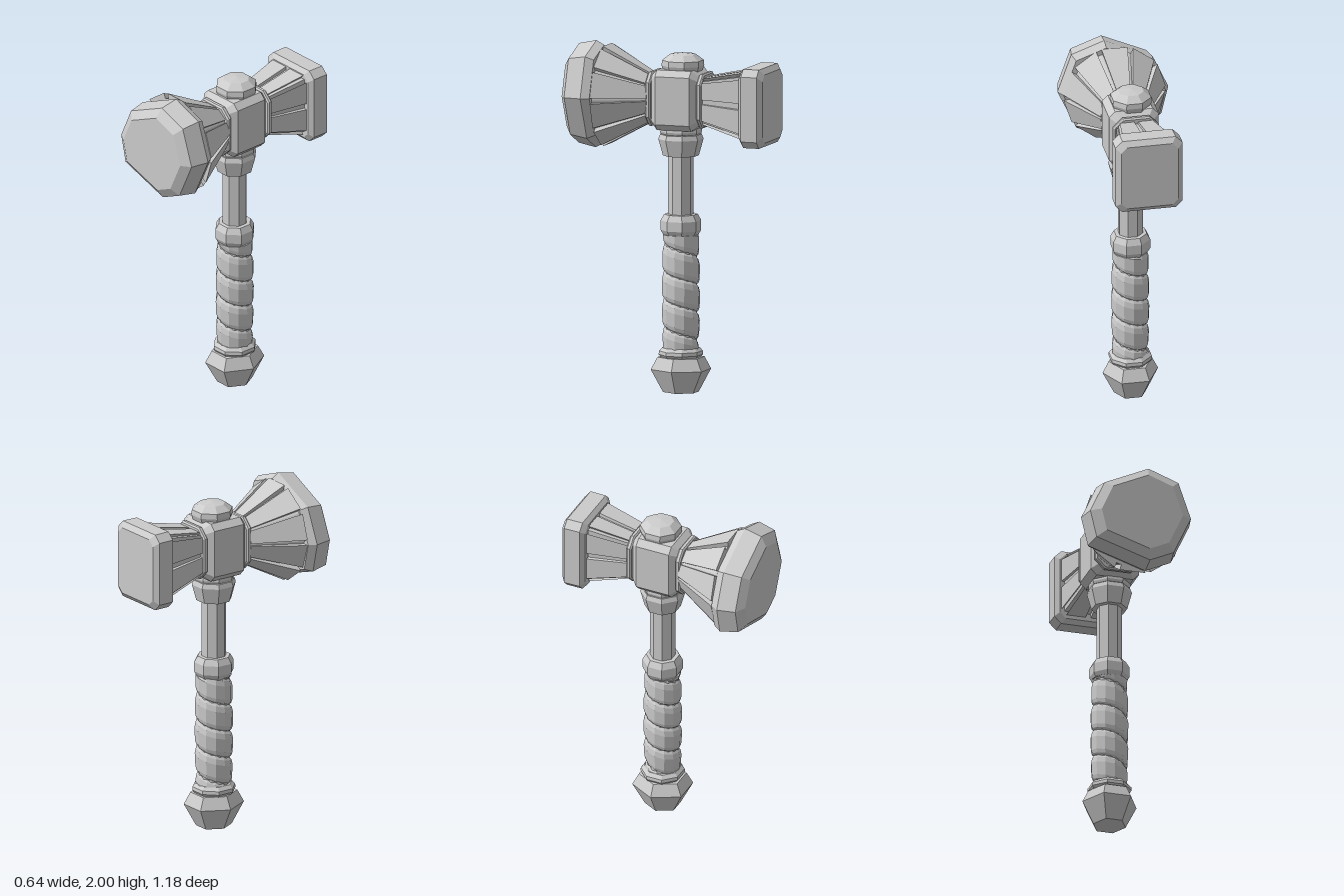
import * as THREE from 'three';

const HEAD_Y = 1.685, SHAFT_Z = -0.04;
const material = new THREE.MeshStandardMaterial({ color: 0xcccccc, flatShading: true });

function add(group, name, geometry) {
  const mesh = new THREE.Mesh(geometry, material);
  mesh.name = name;
  group.add(mesh);
  return mesh;
}

// Closed solid through rings of [x, y, z]; each ring is counterclockwise seen from the last ring
function loft(rings) {
  const out = [], n = rings[0].length;
  const mid = r => [0, 1, 2].map(k => r.reduce((s, p) => s + p[k], 0) / n);
  const tri = (...pts) => pts.forEach(p => out.push(...p));
  const first = rings[0], last = rings[rings.length - 1];
  const c0 = mid(first), c1 = mid(last);
  for (let i = 0; i < n; i++) {
    const j = (i + 1) % n;
    for (let r = 0; r + 1 < rings.length; r++) {
      const a = rings[r], b = rings[r + 1];
      tri(a[i], a[j], b[j]);
      tri(a[i], b[j], b[i]);
    }
    tri(c0, first[j], first[i]);
    tri(c1, last[i], last[j]);
  }
  const geo = new THREE.BufferGeometry();
  geo.setAttribute('position', new THREE.Float32BufferAttribute(out, 3));
  geo.computeVertexNormals();
  return geo;
}

// Rectangle with cut corners, at depth z
function cutRect(hx, hy, c, z, cy = HEAD_Y) {
  return [[hx, -hy + c], [hx, hy - c], [hx - c, hy], [-hx + c, hy],
    [-hx, hy - c], [-hx, -hy + c], [-hx + c, -hy], [hx - c, -hy]].map(([x, y]) => [x, y + cy, z]);
}

// Faceted turned part around the shaft axis; profile is [radius, y] from bottom to top
function turned(group, name, profile, sides, turn = Math.PI / sides, zScale = 1) {
  const pts = profile.map(([r, y]) => new THREE.Vector2(r, y));
  const geo = new THREE.LatheGeometry(pts, sides);
  geo.rotateY(turn);
  geo.scale(1, 1, zScale);
  geo.translate(0, 0, SHAFT_Z);
  return add(group, name, geo);
}

// Ring of raised panels around a flaring neck; shape(angle, end) gives a point [x, y, z]
function flutedNeck(group, name, count, offset, gap, shape) {
  const neck = new THREE.Group();
  neck.name = name;
  const step = Math.PI * 2 / count;
  const sink = (p, k) => [p[0] * k, HEAD_Y + (p[1] - HEAD_Y) * k, p[2]];
  const core = [0, 1].map(e => Array.from({ length: count * 2 }, (_, i) =>
    sink(shape(offset + i * step / 2, e), 0.89)));
  add(neck, name + 'Core', loft(core));
  for (let i = 0; i < count; i++) {
    const a = offset + i * step + gap, b = offset + (i + 1) * step - gap;
    const rings = [0, 1].map(e => {
      const p = shape(a, e), q = shape(b, e);
      return [p, q, sink(q, 0.8), sink(p, 0.8)];
    });
    add(neck, name + 'Panel', loft(rings));
  }
  group.add(neck);
}

// Leather strip wound down the grip, with a groove between turns
function wrapGeometry(top, bottom, pitch) {
  const profile = [[0, 0.088], [0.1, 0.101], [0.3, 0.108], [0.8, 0.106], [0.93, 0.1], [1, 0.088]];
  const seg = 12, turns = Math.ceil((top - bottom) / pitch) + 1;
  const pos = [], idx = [], m = profile.length;
  for (let i = 0; i <= seg * turns; i++) {
    const a = i / seg * Math.PI * 2 - Math.PI / 2;
    profile.forEach(([t, r]) => {
      const y = THREE.MathUtils.clamp(top + pitch * (1 - i / seg - t), bottom, top);
      const swell = 0.96 + 0.06 * Math.sin(Math.PI * (y - bottom) / (top - bottom));
      pos.push(Math.sin(a) * r * swell, y, Math.cos(a) * r * swell + SHAFT_Z);
    });
  }
  for (let i = 0; i < seg * turns; i++) for (let j = 0; j + 1 < m; j++) {
    const a = i * m + j, b = a + m;
    idx.push(a, a + 1, b + 1, a, b + 1, b);
  }
  const geo = new THREE.BufferGeometry();
  geo.setAttribute('position', new THREE.Float32BufferAttribute(pos, 3));
  geo.setIndex(idx);
  geo.computeVertexNormals();
  return geo;
}

export function createModel() {
  const hammer = new THREE.Group();
  hammer.name = 'hammer';

  // Handle, from pommel to head
  const handle = new THREE.Group();
  handle.name = 'handle';
  hammer.add(handle);
  turned(handle, 'pommel', [[0, 0], [0.095, 0.01], [0.16, 0.14], [0.125, 0.21], [0, 0.215]], 6, Math.PI / 6, 1.1);
  turned(handle, 'pommelRing', [[0, 0.205], [0.115, 0.21], [0.126, 0.225], [0.124, 0.245], [0.105, 0.265], [0, 0.265]], 8);
  turned(handle, 'gripCore', [[0, 0.22], [0.09, 0.22], [0.09, 0.92], [0, 0.92]], 12);
  add(handle, 'gripWrap', wrapGeometry(0.91, 0.25, 0.158));
  turned(handle, 'gripCollar', [[0, 0.895], [0.095, 0.9], [0.115, 0.935], [0.115, 0.99], [0.095, 1.025], [0, 1.03]], 8);
  turned(handle, 'shaft', [[0, 1], [0.072, 1], [0.072, 1.4], [0, 1.4]], 8);
  turned(handle, 'headSocket', [[0, 1.36], [0.102, 1.36], [0.128, 1.455], [0.118, 1.482], [0, 1.482]], 8);
  turned(handle, 'socketRing', [[0, 1.48], [0.115, 1.485], [0.12, 1.5], [0.115, 1.53], [0, 1.53]], 8);

  // Head block with a domed cap
  const head = new THREE.Group();
  head.name = 'head';
  hammer.add(head);
  add(head, 'headBlock', loft([
    cutRect(0.105, 0.14, 0.025, -0.178), cutRect(0.143, 0.172, 0.035, -0.14),
    cutRect(0.143, 0.172, 0.035, 0.065), cutRect(0.105, 0.14, 0.025, 0.103)]));
  const cap = turned(head, 'topCap', [[0, 1.84], [0.11, 1.845], [0.121, 1.875], [0.118, 1.905], [0.075, 1.938], [0, 1.947]], 8);
  cap.position.z = -0.012;

  // Collars on both ends of the block
  [[0.098, 0.13, 'frontCollar'], [-0.207, -0.176, 'backCollar']].forEach(([z0, z1, name]) => {
    add(head, name, loft([cutRect(0.124, 0.145, 0.05, z0), cutRect(0.133, 0.154, 0.055, z0 + 0.008),
      cutRect(0.133, 0.154, 0.055, z1 - 0.008), cutRect(0.124, 0.145, 0.05, z1)]));
  });

  // Round fluted neck and faceted striking face
  flutedNeck(head, 'frontNeck', 10, Math.PI / 2 - Math.PI / 10, 0.055, (a, e) => {
    const r = e ? 0.295 : 0.14;
    return [r * Math.cos(a), HEAD_Y + r * Math.sin(a), e ? 0.402 : 0.12];
  });
  const outline = [[0.32, 1.7], [0.24, 1.93], [0.05, 2], [-0.23, 1.87],
    [-0.32, 1.67], [-0.28, 1.5], [0.06, 1.39], [0.21, 1.46]];
  const faceRings = [[0.405, 0.92], [0.45, 1], [0.555, 0.93], [0.59, 0.75]].map(([z, s]) =>
    outline.map(([x, y]) => [x * s, 1.69 + (y - 1.69) * s, z]));
  add(head, 'frontFace', loft(faceRings));

  // Squared fluted neck and back plate
  flutedNeck(head, 'backNeck', 8, 0, 0.1, (a, e) => {
    const c = Math.cos(a), s = Math.sin(a), k = 1 / Math.max(Math.abs(c), Math.abs(s));
    const [hx, hy] = e ? [0.115, 0.13] : [0.157, 0.188];
    return [hx * k * c, HEAD_Y - (e ? 0 : 0.01) + hy * k * s, e ? -0.2 : -0.443];
  });
  add(head, 'backFace', loft([
    cutRect(0.165, 0.195, 0.035, -0.59, 1.667), cutRect(0.194, 0.225, 0.04, -0.565, 1.667),
    cutRect(0.192, 0.225, 0.04, -0.47, 1.667), cutRect(0.165, 0.2, 0.035, -0.447, 1.667)]));

  return hammer;
}
